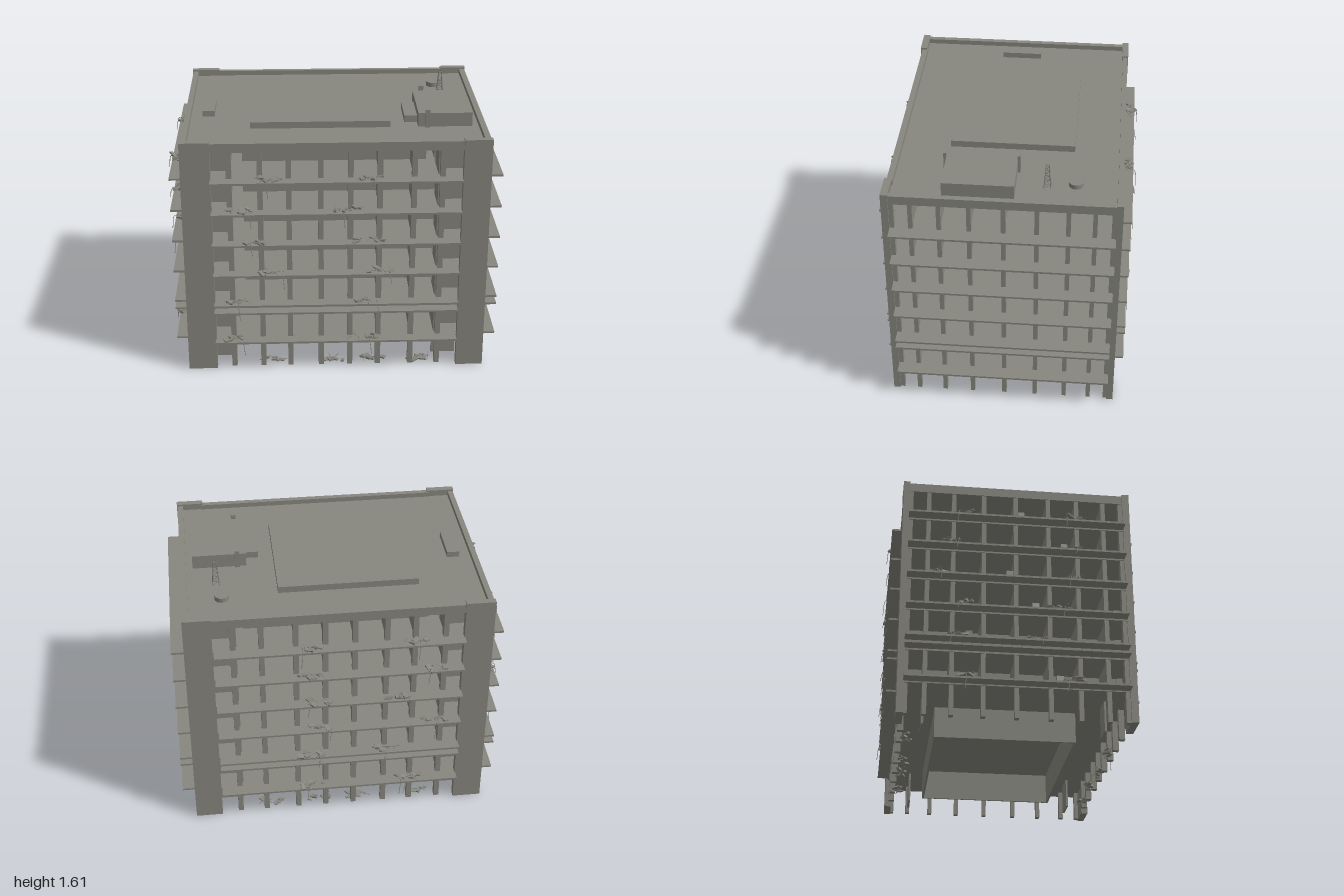
import * as THREE from 'three';

export function createModel() {
  const root = new THREE.Group();
  root.name = 'ruinedBuilding';
  const concrete = new THREE.MeshStandardMaterial({ color: 0x87867e, side: THREE.DoubleSide });
  concrete.name = 'concrete';

  const add = (name, geometry, parent = root) => {
    const mesh = new THREE.Mesh(geometry, concrete);
    mesh.name = name;
    parent.add(mesh);
    return mesh;
  };
  // Box given by its min and max on each axis
  const box = (name, x0, x1, y0, y1, z0, z1, parent) => {
    const m = add(name, new THREE.BoxGeometry(x1 - x0, y1 - y0, z1 - z0), parent);
    m.position.set((x0 + x1) / 2, (y0 + y1) / 2, (z0 + z1) / 2);
    return m;
  };
  let seed = 7;
  const rnd = (a = 0, b = 1) => {
    seed = (seed * 16807) % 2147483647;
    return a + (b - a) * (seed / 2147483647);
  };

  const L = -0.885, R = 0.92, B = -0.67, F = 0.68; // building outline
  const columnX = [-0.61, -0.43, -0.262, -0.073, 0.103, 0.276, 0.477, 0.643];
  const columnZ = [0.53, 0.368, 0.196, 0, -0.19, -0.37, -0.52];
  const slabs = [[0.185, 0.205], [0.385, 0.455], [0.638, 0.658], [0.838, 0.858],
    [1.038, 1.058], [1.238, 1.258], [1.43, 1.455]];
  const core = { x0: -0.54, x1: 0.57, z0: -0.44, z1: 0.39 };

  // Floor slabs and roof deck
  slabs.forEach(([y0, y1]) => box('floorSlab', L, R, y0, y1, B + 0.03, F - 0.03));
  slabs.forEach(([y0, y1]) => box('floorSlabMiddle', -0.71, 0.76, y0, y1, B + 0.01, F - 0.01));

  // Thin projecting ledges on every side
  for (const y of [0.205, 0.408, 0.459, 0.66, 0.86, 1.06, 1.26]) {
    const ledge = new THREE.Group();
    ledge.name = 'ledges';
    root.add(ledge);
    box('frontLedge', -0.72, 0.755, y - 0.012, y, 0.62, 0.738, ledge);
    box('backLedge', -0.72, 0.755, y - 0.012, y, -0.73, -0.61, ledge);
    box('rightLedge', -0.96, -0.84, y - 0.012, y, -0.64, 0.65, ledge);
    box('leftLedge', 0.87, 1.0, y - 0.012, y, -0.64, 0.65, ledge);
  }

  // Corner piers
  for (const [z0, z1] of [[F - 0.03, F + 0.012], [B - 0.005, B + 0.035]]) {
    box('cornerPier', -0.89, -0.715, 0, 1.495, z0, z1);
    box('cornerPier', 0.76, 0.925, 0, 1.495, z0, z1);
  }

  // Facade columns
  for (const x of columnX) {
    box('frontColumn', x - 0.016, x + 0.016, 0, 1.44, F - 0.05, F - 0.015);
    box('backColumn', x - 0.016, x + 0.016, 0, 1.44, B + 0.015, B + 0.05);
  }
  for (const z of [0.637, ...columnZ, -0.627]) {
    box('rightColumn', L + 0.005, L + 0.04, 0, 1.44, z - 0.013, z + 0.013);
    box('leftColumn', R - 0.04, R - 0.005, 0, 1.44, z - 0.013, z + 0.013);
  }

  // Parapet
  box('frontParapet', -0.73, 0.77, 1.43, 1.485, F - 0.035, F);
  box('backParapet', -0.73, 0.77, 1.43, 1.485, B, B + 0.03);
  box('rightParapet', L, L + 0.033, 1.43, 1.485, B + 0.03, F - 0.03);
  box('leftParapet', R - 0.035, R, 1.43, 1.485, B + 0.03, F - 0.03);

  // Core walls, open underneath
  box('coreFront', core.x0, core.x1, 0, 1.44, core.z1 - 0.012, core.z1);
  box('coreBack', core.x0, core.x1, 0, 1.44, core.z0, core.z0 + 0.012);
  box('coreRight', core.x0, core.x0 + 0.012, 0, 1.44, core.z0, core.z1);
  box('coreLeft', core.x1 - 0.012, core.x1, 0, 1.44, core.z0, core.z1);

  // Side corridor wall with door openings, lying along z
  const corridorWall = (x, y0, y1, doors) => {
    const shape = new THREE.Shape();
    shape.moveTo(-0.62, 0).lineTo(0.63, 0).lineTo(0.63, y1 - y0).lineTo(-0.62, y1 - y0);
    if (doors) {
      for (const z of [0.415, 0.245, 0.06, -0.06, -0.25, -0.42]) {
        const hole = new THREE.Path();
        hole.moveTo(z - 0.04, 0.004).lineTo(z - 0.04, 0.135).lineTo(z + 0.04, 0.135).lineTo(z + 0.04, 0.004);
        shape.holes.push(hole);
      }
    }
    const g = new THREE.ExtrudeGeometry(shape, { depth: 0.01, bevelEnabled: false });
    g.rotateY(-Math.PI / 2);
    add('corridorWall', g).position.set(x, y0, 0);
  };

  // Rooms on each storey
  for (let i = 0; i < slabs.length - 1; i++) {
    const y0 = slabs[i][1], y1 = slabs[i + 1][0];
    corridorWall(0.63, y0, y1, i > 0);
    corridorWall(-0.605, y0, y1, i > 0);
    for (const x of columnX.slice(1, -1)) {
      box('frontPartition', x - 0.006, x + 0.006, y0, y1, core.z1, F - 0.05);
      box('backPartition', x - 0.006, x + 0.006, y0, y1, B + 0.05, core.z0);
    }
    for (const z of columnZ) {
      box('rightPartition', L + 0.04, -0.61, y0, y1, z - 0.006, z + 0.006);
      box('leftPartition', 0.625, R - 0.04, y0, y1, z - 0.006, z + 0.006);
    }
    if (i > 0 && i < 5) box('corridorEnd', core.x1, 0.625, y0, y1, core.z1 - 0.012, core.z1);
  }

  // Short ground floor walls near the corners
  for (const z of [0.53, -0.52]) {
    box('groundWall', -0.74, -0.61, 0, 0.19, z - 0.006, z + 0.006);
    box('groundWall', 0.62, 0.77, 0, 0.19, z - 0.006, z + 0.006);
  }

  // Roof structures
  box('roofPlatform', -0.487, 0.353, 1.45, 1.495, -0.378, 0.36);
  box('roofHouse', 0.52, 0.845, 1.45, 1.54, -0.057, 0.357);
  box('roofHouseStep', 0.443, 0.52, 1.45, 1.495, 0.027, 0.275);
  box('roofPost', 0.56, 0.588, 1.45, 1.567, 0.357, 0.374);
  box('roofPost', 0.56, 0.588, 1.45, 1.567, -0.072, -0.055);
  box('roofVent', -0.783, -0.708, 1.45, 1.49, -0.103, 0.143);
  add('roofTank', new THREE.CylinderGeometry(0.043, 0.043, 0.03, 20)).position.set(0.685, 1.468, -0.4);

  // Lattice mast
  const mast = new THREE.Group();
  mast.name = 'mast';
  mast.position.set(0.712, 1.455, -0.237);
  root.add(mast);
  const rod = (name, a, b, r, parent) => {
    const p = new THREE.Vector3(...a), q = new THREE.Vector3(...b);
    const m = add(name, new THREE.CylinderGeometry(r, r, p.distanceTo(q), 5), parent);
    m.position.copy(p).add(q).multiplyScalar(0.5);
    m.quaternion.setFromUnitVectors(new THREE.Vector3(0, 1, 0), q.sub(p).normalize());
  };
  const ring = [[1, 1], [1, -1], [-1, -1], [-1, 1]];
  ring.forEach(([sx, sz], k) => {
    const [nx, nz] = ring[(k + 1) % 4];
    rod('mastLeg', [sx * 0.02, 0, sz * 0.02], [sx * 0.008, 0.15, sz * 0.008], 0.0025, mast);
    for (let j = 1; j < 6; j++) {
      const w = 0.02 - j * 0.0024, y = j * 0.03, v = w + 0.0024;
      rod('mastRung', [sx * w, y, sz * w], [nx * w, y, nz * w], 0.0018, mast);
      rod('mastBrace', [sx * v, y - 0.03, sz * v], [nx * w, y, nz * w], 0.0013, mast);
    }
  });

  // Rubble heap: broken chunks, loose bars and bent reinforcement
  const rubble = (x, y, z, alongX, size, out) => {
    const heap = new THREE.Group();
    heap.name = 'rubble';
    heap.position.set(x, y, z);
    if (!alongX) heap.rotation.y = Math.PI / 2;
    root.add(heap);
    for (let i = 0; i < 5; i++) {
      const m = add('chunk', new THREE.BoxGeometry(rnd(0.02, 0.05), rnd(0.006, 0.014), rnd(0.015, 0.035)), heap);
      m.position.set(rnd(-size, size), rnd(0.006, 0.02), rnd(-0.025, 0.025));
      m.rotation.set(rnd(-0.3, 0.3), rnd(0, 3), rnd(-0.3, 0.3));
    }
    for (let i = 0; i < 5; i++) {
      const px = rnd(-size, size), a = rnd(0, 6.28), l = rnd(0.02, 0.035);
      rod('looseBar', [px - Math.cos(a) * l, 0.005, -Math.sin(a) * l],
        [px + Math.cos(a) * l, rnd(0.01, 0.04), Math.sin(a) * l], 0.0018, heap);
    }
    if (out) {
      const px = rnd(-size, size), d = rnd(0.04, 0.1);
      const curve = new THREE.CatmullRomCurve3([new THREE.Vector3(px, 0.01, 0),
        new THREE.Vector3(px, 0.008, out * 0.035), new THREE.Vector3(px + 0.01, -d, out * 0.05)]);
      add('bentBar', new THREE.TubeGeometry(curve, 8, 0.0018, 4), heap);
    }
  };
  for (const y of [0.205, 0.459, 0.66, 0.86, 1.06, 1.26]) {
    rubble(rnd(-0.6, -0.35), y, 0.705, true, 0.07, 1);
    rubble(rnd(0.0, 0.3), y, 0.705, true, 0.08, 1);
    rubble(rnd(-0.6, -0.25), y, -0.7, true, 0.08, -1);
    rubble(rnd(0.05, 0.2), y, -0.7, true, 0.07, -1);
    rubble(-0.935, y, rnd(-0.5, -0.2), false, 0.06, -1);
    rubble(-0.935, y, rnd(0.1, 0.4), false, 0.06, -1);
    // Leaning slab fragments on the right side
    const m = box('leaningFragment', -0.925, -0.9, y, y + 0.045, 0.15, 0.19);
    m.position.z = rnd(-0.4, 0.4);
    m.rotation.z = rnd(-0.4, 0.4);
  }
  for (const x of [-0.37, 0, 0.25, 0.54]) {
    rubble(x, 0.002, 0.62, true, 0.07, 0);
    rubble(x - 0.1, 0.002, -0.6, true, 0.07, 0);
  }

  return root;
}
